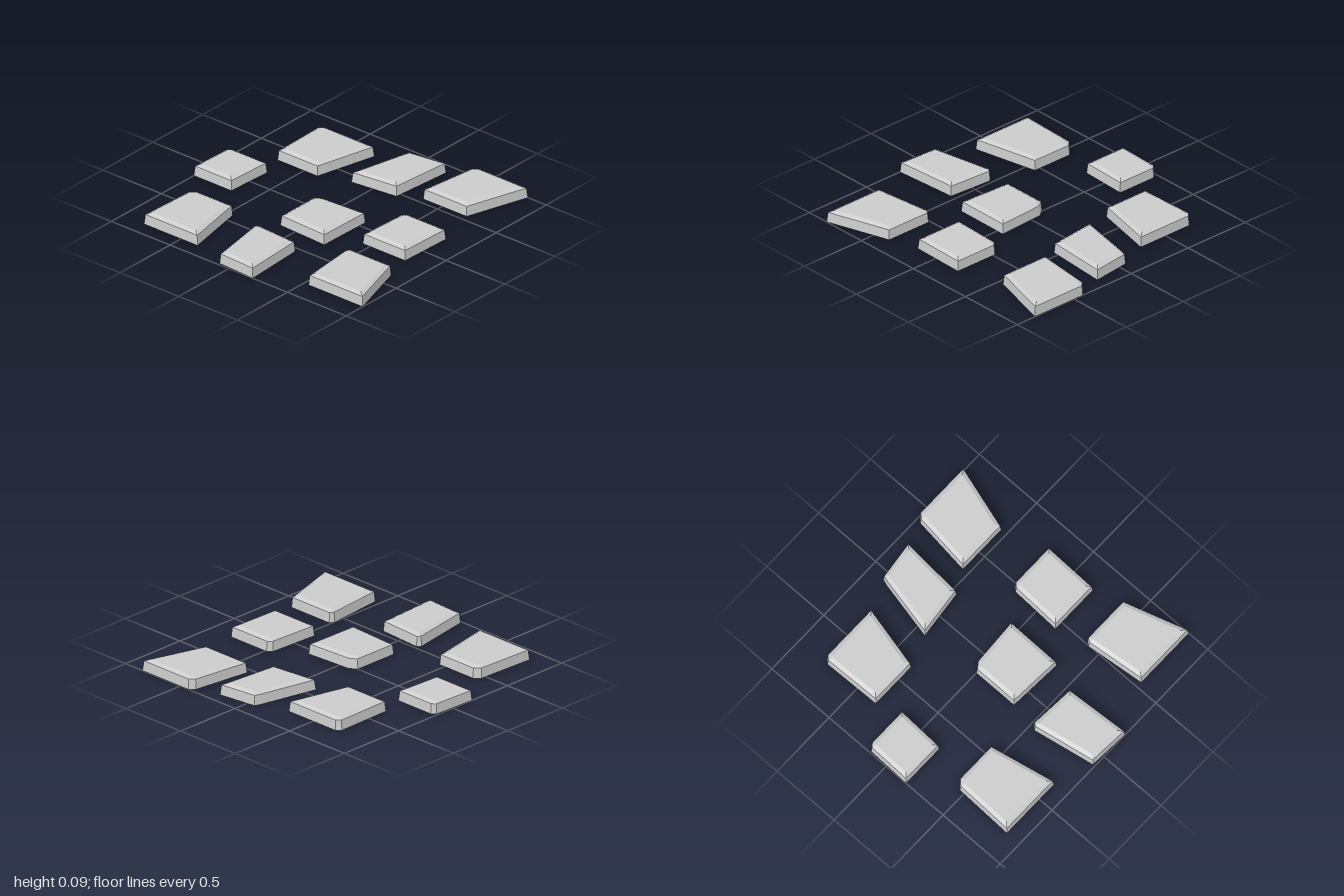
import * as THREE from 'three';

// Outlines on the ground as [x, z]: back edge, front edge, then the clipped back-right corner
const OUTLINES = {
  backRightStone: [[-.705, -.785], [-.28, -.785], [-.385, -.34], [-.725, -.34], [-.735, -.755]],
  backMiddleStone: [[-.06, -.88], [.22, -.915], [.185, -.46], [-.165, -.42], [-.075, -.835]],
  backLeftStone: [[.425, -1], [.845, -1], [.71, -.545], [.34, -.545], [.39, -.965]],
  middleRightStone: [[-.96, -.165], [-.665, -.165], [-.68, .175], [-1, .175], [-.99, -.14]],
  centreStone: [[-.08, -.035], [.265, -.055], [.26, .35], [-.13, .33], [-.13, 0]],
  middleLeftStone: [[.485, -.22], [.81, -.22], [.8, .175], [.44, .175], [.455, -.19]],
  frontRightStone: [[-.76, .425], [-.455, .425], [-.36, .89], [-.815, .89], [-.8, .465]],
  frontMiddleStone: [[-.15, .52], [.175, .54], [.205, 1], [-.09, .985], [-.17, .545]],
  frontLeftStone: [[.515, .385], [.86, .385], [1, .835], [.54, .835], [.495, .415]],
};

// Height and inset of each ring: ground, top of the leaning wall, top of the bevel
const RINGS = [[0, 0], [.07, .006], [.085, .034]];

// Moves every edge inward by d and intersects neighbouring edges
function insetOutline(points, d) {
  const n = points.length;
  const normals = points.map(([x, z], i) => {
    const [bx, bz] = points[(i + 1) % n];
    const length = Math.hypot(bx - x, bz - z);
    return [-(bz - z) / length, (bx - x) / length];
  });
  return points.map(([x, z], i) => {
    const [ax, az] = normals[(i + n - 1) % n];
    const [bx, bz] = normals[i];
    const k = d / (1 + ax * bx + az * bz);
    return [x + (ax + bx) * k, z + (az + bz) * k];
  });
}

// Hollow slab: side bands between the rings and a flat top, open underneath
function stoneGeometry(outline) {
  const rings = RINGS.map(([y, d]) => insetOutline(outline, d).map(([x, z]) => [x, y, z]));
  const n = outline.length;
  const corners = [];
  for (let r = 0; r < rings.length - 1; r++) {
    const low = rings[r], high = rings[r + 1];
    for (let i = 0; i < n; i++) {
      const j = (i + 1) % n;
      corners.push(low[j], low[i], high[i], low[j], high[i], high[j]);
    }
  }
  const top = rings[rings.length - 1];
  for (let i = 1; i < n - 1; i++) corners.push(top[0], top[i + 1], top[i]);
  const geometry = new THREE.BufferGeometry();
  geometry.setAttribute('position', new THREE.Float32BufferAttribute(corners.flat(), 3));
  geometry.computeVertexNormals();
  return geometry;
}

export function createModel() {
  const group = new THREE.Group();
  group.name = 'pavingStones';
  const material = new THREE.MeshStandardMaterial({
    color: 0xcccccc, flatShading: true, side: THREE.DoubleSide,
  });
  for (const [name, outline] of Object.entries(OUTLINES)) {
    const stone = new THREE.Mesh(stoneGeometry(outline), material);
    stone.name = name;
    group.add(stone);
  }
  return group;
}
